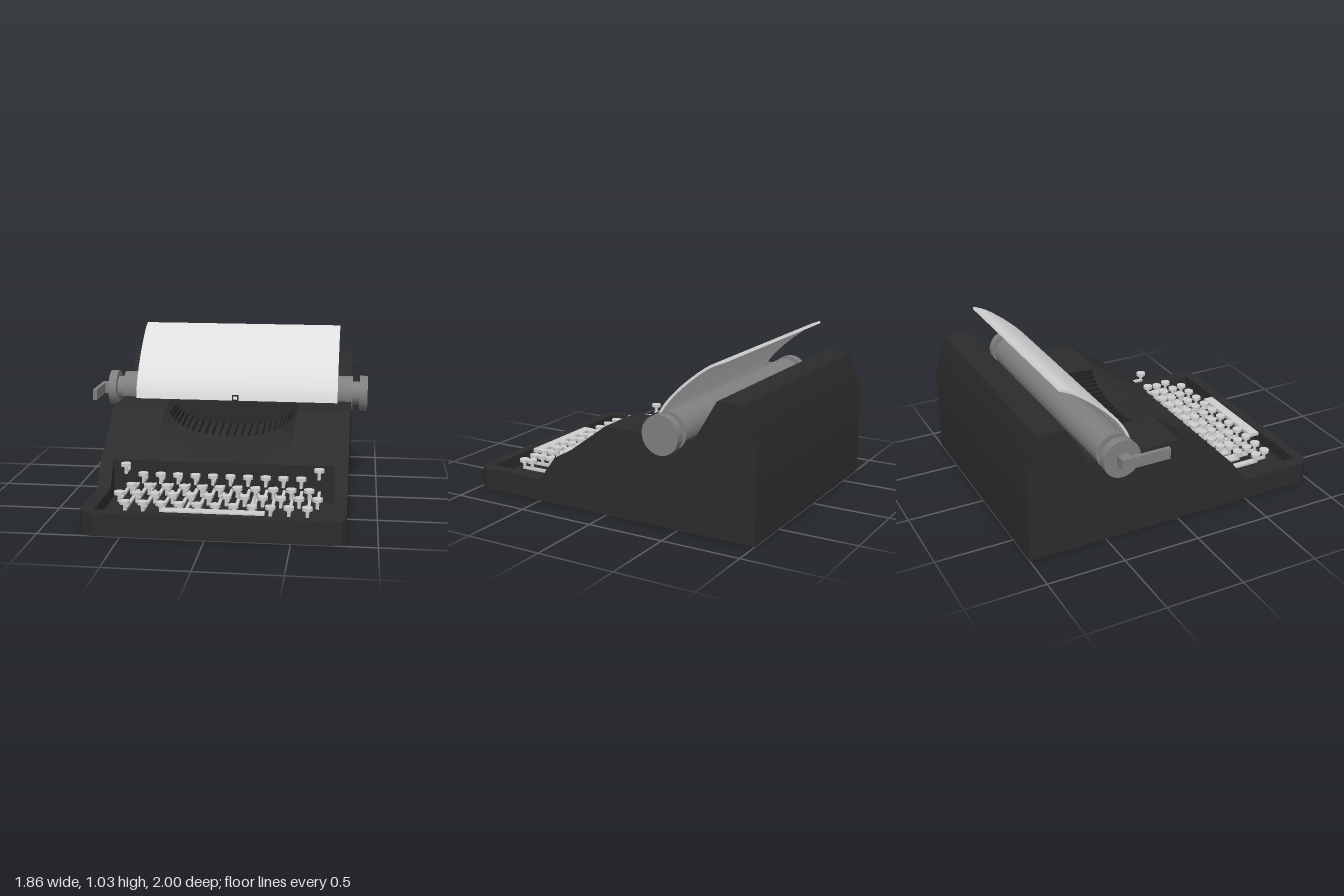
import * as THREE from 'three';
import { toCreasedNormals } from 'three/addons/utils/BufferGeometryUtils.js';

const mat = (name, color, side = THREE.FrontSide) => {
  const m = new THREE.MeshStandardMaterial({ color, side });
  m.name = name;
  return m;
};

const CX = 0.0325; // middle of the case across x

// How far the front edge of the deck dips at distance d from the middle
const DIP = [[0, 0.185], [0.12, 0.18], [0.235, 0.162], [0.3, 0.135], [0.36, 0.1], [0.4, 0.055], [0.435, 0]];
function dip(d) {
  for (let i = 1; i < DIP.length; i++) {
    const [d0, s0] = DIP[i - 1], [d1, s1] = DIP[i];
    if (d <= d1) return s0 + (s1 - s0) * (d - d0) / (d1 - d0);
  }
  return 0;
}

// Side outline of the case as [z, y] at distance d from the middle
function caseOutline(d, recessed) {
  const s = dip(d);
  const front = d > 0.762 ? 1 - 0.03 - (d - 0.762) * 1.75 : d > 0.7 ? 1 - (d - 0.7) * 0.48 : 1;
  const well = recessed
    ? [[0.93, 0.06], [0.38, 0.06]]
    : [[0.93, 0.14], [0.5, 0.14]];
  return [
    [front, 0], [front, 0.14], [0.93, 0.14], ...well, [0.38, 0.3],
    [0.25, 0.375 - s * 0.25], [0.12, 0.471 - s * 0.63], [0, 0.56 - s],
    [-0.25, 0.56 - s * 0.85], [-0.25, 0.56], [-0.6, 0.56],
    [-0.75, 0.815], [-0.92, 0.815], [-1, 0.56], [-1, 0],
  ];
}

function caseGeometry() {
  const half = [[0.7825, false], [0.762, false], [0.7, false], [0.7, true]];
  for (let i = DIP.length - 1; i > 0; i--) half.push([DIP[i][0], true]);
  const stations = [
    ...half.map(([d, r]) => [-d, r]), [0, true],
    ...half.slice().reverse(),
  ];
  const pos = [], index = [];
  const outlines = stations.map(([x, r]) => caseOutline(Math.abs(x), r));
  const n = outlines[0].length;
  outlines.forEach((o, i) => o.forEach(([z, y]) => pos.push(stations[i][0] + CX, y, z)));
  for (let i = 0; i < stations.length - 1; i++) {
    for (let j = 0; j < n; j++) {
      const k = (j + 1) % n;
      const a = i * n + j, b = a + n, c = (i + 1) * n + k, d = i * n + k;
      index.push(a, b, c, a, c, d);
    }
  }
  // flat end walls
  const last = (stations.length - 1) * n;
  const contour = outlines[0].map(([z, y]) => new THREE.Vector2(z, y));
  for (const [a, b, c] of THREE.ShapeUtils.triangulateShape(contour, [])) {
    index.push(a, b, c, last + a, last + c, last + b);
  }
  const g = new THREE.BufferGeometry();
  g.setAttribute('position', new THREE.Float32BufferAttribute(pos, 3));
  g.setIndex(index);
  return toCreasedNormals(g.toNonIndexed(), 0.4);
}

export function createModel() {
  const black = mat('caseBlack', 0x2c2c2c);
  const dark = mat('typeBarBlack', 0x222222);
  const grey = mat('rollerGrey', 0x808080);
  const light = mat('keyLight', 0xcfcfcf);
  const paperMat = mat('paperWhite', 0xdedede);

  const root = new THREE.Group();
  root.name = 'typewriter';
  const group = (name) => {
    const g = new THREE.Group();
    g.name = name;
    root.add(g);
    return g;
  };
  const add = (parent, name, geo, material, x = 0, y = 0, z = 0) => {
    const m = new THREE.Mesh(geo, material);
    m.name = name;
    m.position.set(x, y, z);
    parent.add(m);
    return m;
  };
  // box given by its limits
  const box = (parent, name, material, x0, x1, y0, y1, z0, z1) =>
    add(parent, name, new THREE.BoxGeometry(x1 - x0, y1 - y0, z1 - z0), material,
      (x0 + x1) / 2, (y0 + y1) / 2, (z0 + z1) / 2);

  add(root, 'case', caseGeometry(), black);

  // Type bars fanned round the dipped basket
  const basket = group('typeBasket');
  const bars = 24;
  for (let i = 0; i < bars; i++) {
    const a = Math.PI * (0.06 + 0.88 * i / (bars - 1));
    const d = -Math.cos(a) * 0.41;
    const s = dip(Math.abs(d));
    const bar = add(basket, 'typeBar', new THREE.BoxGeometry(0.01, 0.022, 0.23), dark,
      CX + d, 0.568 - s * 0.925, -0.122);
    bar.rotation.x = Math.atan(s * 0.6);
  }

  // Keys: [z, top of cap, first x, count]
  const keys = group('keyboard');
  const cap = new THREE.CylinderGeometry(0.032, 0.032, 0.02, 16);
  const stem = new THREE.CylinderGeometry(0.011, 0.011, 0.05, 8);
  const rows = [[0.485, 0.25, -0.566, 12], [0.59, 0.208, -0.511, 11], [0.695, 0.187, -0.566, 12], [0.8, 0.162, -0.511, 11]];
  rows.forEach(([z, rowTop, x0, count], r) => {
    for (let i = 0; i < count; i++) {
      const x = x0 + i * 0.1095;
      const top = r === 0 && (i === 0 || i === count - 1) ? 0.308 : rowTop;
      add(keys, 'keyCap', cap, light, x, top - 0.01, z);
      add(keys, 'keyStem', stem, light, x, top - 0.04, z);
      box(keys, 'keyLever', light, x - 0.009, x + 0.009, top - 0.068, top - 0.052, 0.37, z + 0.01);
    }
  });

  // Space bar on two arms
  box(keys, 'spaceBar', light, -0.27, 0.338, 0.122, 0.145, 0.85, 0.918);
  for (const x of [-0.135, 0.245]) {
    box(keys, 'spaceBarArm', light, x - 0.009, x + 0.009, 0.115, 0.13, 0.37, 0.87);
  }

  // Roller, necks and knobs, all on one axis
  const carriage = group('carriage');
  const rod = (name, r, x0, x1) => {
    const g = new THREE.CylinderGeometry(r, r, x1 - x0, 40).rotateZ(Math.PI / 2);
    add(carriage, name, g, grey, (x0 + x1) / 2, 0.6, -0.445);
  };
  rod('roller', 0.116, -0.757, 0.825);
  for (const side of [-1, 1]) {
    const span = (a, b) => [CX + side * a, CX + side * b].sort((p, q) => p - q);
    rod('rollerNeck', 0.08, ...span(0.78, 0.845));
    rod('rollerKnob', 0.12, ...span(0.838, 0.893));
  }

  // Return lever on the model's right end
  box(carriage, 'leverStub', grey, -0.93, -0.855, 0.565, 0.635, -0.48, -0.41);
  box(carriage, 'returnLever', grey, -0.93, -0.903, 0.565, 0.635, -0.42, -0.165);

  // Curved sheet of paper rising behind the roller
  const curve = new THREE.CatmullRomCurve3([
    [-0.285, 0.55], [-0.305, 0.625], [-0.36, 0.72], [-0.45, 0.82], [-0.56, 0.915], [-0.66, 0.985], [-0.735, 1.018],
  ].map(([z, y]) => new THREE.Vector3(0, y, z)));
  const outer = [], inner = [];
  for (let i = 0; i <= 24; i++) {
    const p = curve.getPoint(i / 24), t = curve.getTangent(i / 24);
    // shape x stands for -z here, so the extrusion turns onto the x axis
    outer.push(new THREE.Vector2(-p.z - t.y * 0.008, p.y - t.z * 0.008));
    inner.push(new THREE.Vector2(-p.z + t.y * 0.008, p.y + t.z * 0.008));
  }
  const sheet = new THREE.ExtrudeGeometry(new THREE.Shape([...outer, ...inner.reverse()]),
    { depth: 1.38, bevelEnabled: false });
  sheet.rotateY(Math.PI / 2);
  add(carriage, 'paper', toCreasedNormals(sheet, 0.5), paperMat, -0.655, 0, 0);

  // Small square ribbon guide in front of the paper
  const guide = group('ribbonGuide');
  for (const x of [0.01, 0.047]) box(guide, 'guidePost', black, x, x + 0.008, 0.55, 0.602, -0.272, -0.262);
  for (const y of [0.56, 0.594]) box(guide, 'guideBar', black, 0.01, 0.055, y, y + 0.008, -0.272, -0.262);

  return root;
}
